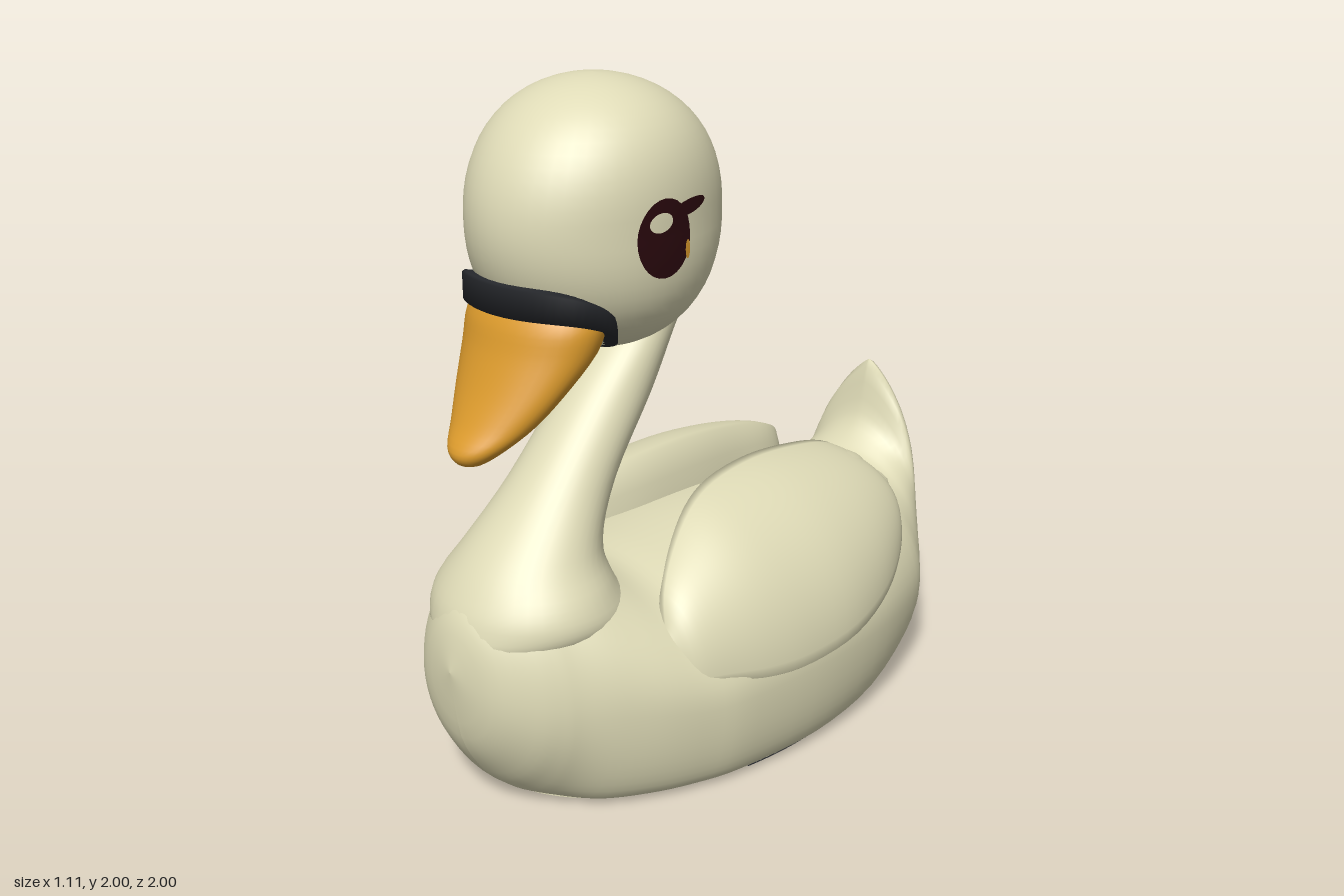
import * as THREE from 'three';

const mat = (name, color, side = THREE.DoubleSide) => {
  const m = new THREE.MeshStandardMaterial({ color, side });
  m.name = name;
  return m;
};

// Smoothly resample a short table of cross-section rows
function refine(rows, n) {
  const out = [];
  for (let i = 0; i < rows.length - 1; i++) {
    const a = rows[Math.max(i - 1, 0)], b = rows[i], c = rows[i + 1], d = rows[Math.min(i + 2, rows.length - 1)];
    for (let k = 0; k < n; k++) {
      const t = k / n;
      out.push(b.map((v, j) => v + 0.5 * t * (c[j] - a[j] + t * (2 * a[j] - 5 * v + 4 * c[j] - d[j] + t * (3 * (v - c[j]) + d[j] - a[j])))));
    }
  }
  out.push(rows[rows.length - 1]);
  return out;
}

// Skin a set of rows; point(row, u) gives a position for u in 0..1
function skin(rows, cols, closed, point) {
  const pos = [], index = [], n = closed ? cols : cols + 1;
  rows.forEach((r) => { for (let j = 0; j < n; j++) pos.push(...point(r, j / cols)); });
  for (let i = 0; i < rows.length - 1; i++) {
    for (let j = 0; j < cols; j++) {
      const a = i * n + j, b = i * n + (j + 1) % n;
      index.push(a, b, b + n, a, b + n, a + n);
    }
  }
  const g = new THREE.BufferGeometry();
  g.setAttribute('position', new THREE.Float32BufferAttribute(pos, 3));
  g.setIndex(index);
  g.computeVertexNormals();
  return g;
}

// Horizontal oval slices: [y, front z, back z, half width]
const slices = (rows) => skin(refine(rows, 4), 40, true, ([y, f, b, w], u) => {
  const a = u * Math.PI * 2;
  return [w * Math.sin(a), y, (f + b) / 2 + (f - b) / 2 * Math.cos(a)];
});

const HEAD = { y: 1.625, z: 0.415, rx: 0.315, ry: 0.375, rz: 0.385 };
const fullness = (y) => 1 + 0.25 * Math.abs((HEAD.y - y) / HEAD.ry) ** 1.5;

// Thin oval laid onto the side of the head
function decal(z, y, rz, ry, angle, lift) {
  const g = new THREE.RingGeometry(0, 1, 28, 4);
  const p = g.attributes.position, c = Math.cos(angle), s = Math.sin(angle);
  for (let i = 0; i < p.count; i++) {
    const a = p.getX(i) * rz, b = p.getY(i) * ry;
    const pz = z - (a * c - b * s), py = y + a * s + b * c;
    const k = 1 - ((py - HEAD.y) / HEAD.ry) ** 2 - ((pz - HEAD.z) / HEAD.rz) ** 2;
    p.setXYZ(i, HEAD.rx * fullness(py) * Math.sqrt(Math.max(k, 0)) + lift, py, pz);
  }
  g.computeVertexNormals();
  return g;
}

export function createModel() {
  const cream = mat('cream', 0xdfdbb7), orange = mat('orange', 0xdb9a2c);
  const charcoal = mat('charcoal', 0x26282c), maroon = mat('maroon', 0x29080d);
  const model = new THREE.Group();
  const add = (name, geometry, material, parent = model) => {
    const m = new THREE.Mesh(geometry, material);
    m.name = name;
    parent.add(m);
    return m;
  };

  // Body, chest and upturned tail: [z, half width, base half width, bottom, top, pinch]
  const body = refine([
    [1.0, 0, 0, 0.44, 0.44, 1], [0.97, 0.135, 0, 0.23, 0.58, 1], [0.9, 0.235, 0, 0.1, 0.67, 1.05],
    [0.84, 0.285, 0.01, 0.035, 0.71, 1.1], [0.79, 0.315, 0.08, 0.015, 0.72, 1.15], [0.7, 0.37, 0.23, 0.01, 0.71, 1.15],
    [0.58, 0.43, 0.325, 0.01, 0.66, 1.1], [0.45, 0.475, 0.39, 0.01, 0.61, 1], [0.3, 0.515, 0.435, 0.01, 0.62, 1],
    [0, 0.545, 0.462, 0.01, 0.64, 1], [-0.3, 0.52, 0.41, 0.01, 0.63, 1], [-0.58, 0.43, 0.26, 0.01, 0.59, 1],
    [-0.7, 0.355, 0.09, 0.015, 0.595, 1], [-0.76, 0.305, 0, 0.06, 0.63, 1.1],
    [-0.82, 0.25, 0, 0.13, 0.71, 1.3], [-0.865, 0.2, 0, 0.2, 0.885, 1.7],
    [-0.94, 0.12, 0, 0.32, 0.765, 1.4], [-0.985, 0.055, 0, 0.42, 0.665, 1.1], [-1, 0, 0, 0.55, 0.57, 1],
  ], 4);
  add('body', skin(body, 56, false, ([z, w, b, lo, top, p], u) => {
    const q = u * 2 - 1, k = Math.abs(q), mid = lo + (top - lo) * 0.45;
    let x, y;
    if (k < 0.6) {
      const t = k / 0.6 * Math.PI / 2;
      x = w * Math.sin(t) ** p;
      y = mid + (top - mid) * Math.cos(t);
    } else {
      const t = (k - 0.6) / 0.4 * Math.PI / 2;
      x = b + (w - b) * Math.cos(t);
      y = mid - (mid - lo) * Math.sin(t);
    }
    return [Math.sign(q) * x, y, z];
  }), cream);

  // Flat base rim, partial dark underside and hollow inside
  const rim = new THREE.Shape().absellipse(0, 0, 0.462, 0.755, 0, Math.PI * 2);
  rim.holes.push(new THREE.Path().absellipse(0, 0, 0.366, 0.61, 0, Math.PI * 2));
  const rimGeo = new THREE.ExtrudeGeometry(rim, { depth: 0.02, bevelEnabled: false, curveSegments: 40 });
  add('baseRim', rimGeo.rotateX(Math.PI / 2).translate(0, 0.024, 0.04), cream);
  for (const [inner, start, sweep] of [[0.8, -2.6, 1.35], [0.83, -1.25, 1.55]]) {
    const dark = new THREE.RingGeometry(inner, 1, 40, 1, start, sweep).scale(0.462, 0.755, 1);
    add('darkUnderside', dark.rotateX(Math.PI / 2).translate(0, 0, 0.04), charcoal);
  }
  const cavity = new THREE.SphereGeometry(1, 40, 12, 0, Math.PI * 2, 0, Math.PI / 2);
  add('cavity', cavity.scale(0.366, 0.42, 0.61).translate(0, 0.015, 0.04), cream);

  // Neck flowing out of the chest
  add('neck', slices([
    [0.4, 0.93, 0.3, 0.2], [0.5, 0.98, 0.38, 0.26], [0.56, 0.973, 0.43, 0.285], [0.63, 0.943, 0.48, 0.262],
    [0.73, 0.87, 0.492, 0.2], [0.89, 0.715, 0.41, 0.15], [1.1, 0.53, 0.25, 0.13],
    [1.26, 0.39, 0.17, 0.13], [1.34, 0.35, 0.13, 0.14], [1.45, 0.32, 0.083, 0.17], [1.56, 0.32, 0.05, 0.15],
  ]), cream);

  // Head, slightly squared at crown and cheeks
  const headGeo = new THREE.SphereGeometry(1, 48, 32).scale(HEAD.rx, HEAD.ry, HEAD.rz).translate(0, HEAD.y, HEAD.z);
  const hp = headGeo.attributes.position;
  for (let i = 0; i < hp.count; i++) hp.setX(i, hp.getX(i) * fullness(hp.getY(i)));
  headGeo.computeVertexNormals();
  add('head', headGeo, cream);

  // Beak, drooping to a rounded tip
  add('beak', slices([
    [1.018, 0.9, 0.9, 0], [1.025, 0.93, 0.86, 0.04], [1.06, 0.943, 0.79, 0.085], [1.12, 0.9, 0.71, 0.135],
    [1.2, 0.855, 0.63, 0.18], [1.3, 0.812, 0.53, 0.218], [1.38, 0.786, 0.5, 0.228], [1.44, 0.75, 0.5, 0.2],
  ]), orange);

  // Dark band around the beak base, dipping toward the chin: [scale, height]
  add('beakBand', skin([[0.6, -0.035], [1, -0.042], [1, 0.038], [0.97, 0.044], [0.55, 0.05]], 48, true, ([s, h], u) => {
    const a = u * Math.PI * 2, z = 0.16 * Math.cos(a), d = 0.16 - z;
    return [0.25 * s * Math.sin(a), 1.448 - 1.66 * d * d + h * (1 - 1.4 * d), 0.63 + z * s];
  }), charcoal);

  // Wings and eyes, one per side
  for (const side of [1, -1]) {
    const wing = new THREE.Group();
    wing.name = side > 0 ? 'leftWing' : 'rightWing';
    // Folded wing: [z, inner x, outer x, lower edge, top]
    const cover = refine([
      [0.51, 0.34, 0.4, 0.37, 0.5], [0.47, 0.29, 0.445, 0.355, 0.585], [0.38, 0.23, 0.485, 0.34, 0.665],
      [0.25, 0.17, 0.525, 0.317, 0.742], [0.1, 0.125, 0.55, 0.31, 0.777], [-0.1, 0.105, 0.555, 0.33, 0.788],
      [-0.3, 0.105, 0.515, 0.38, 0.77], [-0.46, 0.11, 0.445, 0.45, 0.735], [-0.55, 0.14, 0.37, 0.52, 0.68],
      [-0.6, 0.21, 0.27, 0.56, 0.6],
    ], 4);
    add('wingCover', skin(cover, 32, false, ([z, xi, xo, lo, top], u) => {
      if (u < 0.15) return [xi - 0.02 * Math.sin(u / 0.15 * Math.PI), lo + (top - 0.015 - lo) * u / 0.15, z];
      if (u > 0.85) return [xo - (u - 0.85) / 0.15 * 0.09, lo - (u - 0.85) / 0.15 * 0.03, z];
      const t = (u - 0.15) / 0.7 * Math.PI / 2;
      return [xi + (xo - xi) * Math.sin(t), lo + (top - lo) * Math.cos(t), z];
    }), cream, wing);
    [[0.2, 0.705, -0.41, -0.15], [0.26, 0.635, -0.47, -0.35]].forEach(([x, y, z, roll]) => {
      const f = add('wingFeather', new THREE.SphereGeometry(1, 20, 14), cream, wing);
      f.scale.set(0.08, 0.028, 0.14);
      f.position.set(x, y, z);
      f.rotation.set(-0.2, 0, roll);
    });
    wing.scale.x = side;
    model.add(wing);

    const eye = new THREE.Group();
    eye.name = side > 0 ? 'leftEye' : 'rightEye';
    add('eyeball', decal(0.472, 1.607, 0.088, 0.107, 0, 0.009), maroon, eye);
    add('lash', decal(0.39, 1.68, 0.07, 0.02, 0.15, 0.011), maroon, eye);
    add('eyeShine', decal(0.493, 1.653, 0.037, 0.026, 0.15, 0.016), cream, eye);
    add('eyeGlint', decal(0.398, 1.568, 0.009, 0.026, 0, 0.013), orange, eye);
    eye.scale.x = side;
    model.add(eye);
  }
  return model;
}
